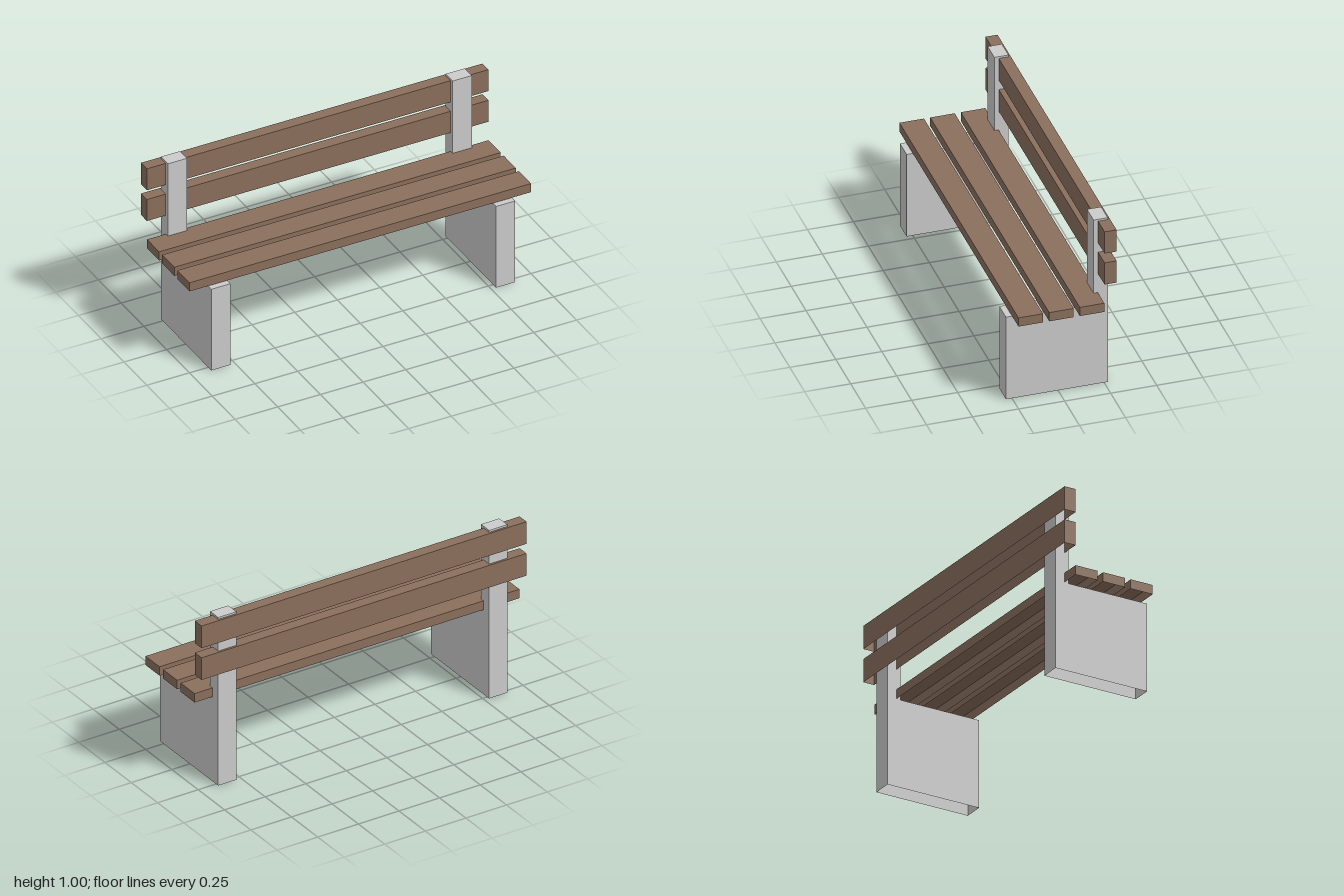
import * as THREE from 'three';

const concrete = new THREE.MeshStandardMaterial({ color: 0xcccccc, flatShading: true, side: THREE.DoubleSide });
const wood = new THREE.MeshStandardMaterial({ color: 0x8b6f5c, flatShading: true, side: THREE.DoubleSide });

// Leaves a shell open underneath: drops triangles lying wholly at the lowest level.
function openBottom(geometry) {
  const g = geometry.index ? geometry.toNonIndexed() : geometry;
  g.computeBoundingBox();
  const low = g.boundingBox.min.y + 1e-4;
  const p = g.attributes.position;
  const kept = [];
  for (let i = 0; i < p.count; i += 3) {
    if (Math.max(p.getY(i), p.getY(i + 1), p.getY(i + 2)) > low) kept.push(i, i + 1, i + 2);
  }
  g.clearGroups();
  g.setIndex(kept);
  return g;
}

// Full-length plank spanning the given heights and depths.
function plank(name, y0, y1, z0, z1) {
  const mesh = new THREE.Mesh(openBottom(new THREE.BoxGeometry(2, y1 - y0, z1 - z0)), wood);
  mesh.position.set(0, (y0 + y1) / 2, (z0 + z1) / 2);
  mesh.name = name;
  return mesh;
}

export function createModel() {
  const bench = new THREE.Group();
  bench.name = 'bench';

  // Side supports: L-shaped profile (shape x is -z) with a tall back post
  const profile = new THREE.Shape([
    [-0.283, 0], [0.27, 0], [0.27, 1], [0.193, 1], [0.193, 0.5], [-0.283, 0.5],
  ].map(([x, y]) => new THREE.Vector2(x, y)));
  const thickness = 0.112;
  const supportGeometry = new THREE.ExtrudeGeometry(profile, { depth: thickness, bevelEnabled: false });
  supportGeometry.translate(0, 0, -thickness / 2).rotateY(Math.PI / 2);
  const shell = openBottom(supportGeometry);
  for (const side of [-1, 1]) {
    const support = new THREE.Mesh(shell, concrete);
    support.name = side > 0 ? 'leftSupport' : 'rightSupport';
    support.position.x = side * 0.834;
    bench.add(support);
  }

  // Three seat planks
  for (const z of [0.184, 0.017, -0.149]) {
    bench.add(plank('seatPlank', 0.502, 0.555, z - 0.0665, z + 0.0665));
  }

  // Two backrest planks
  for (const y of [0.734, 0.923]) {
    bench.add(plank('backPlank', y - 0.066, y + 0.066, -0.282, -0.217));
  }

  return bench;
}
